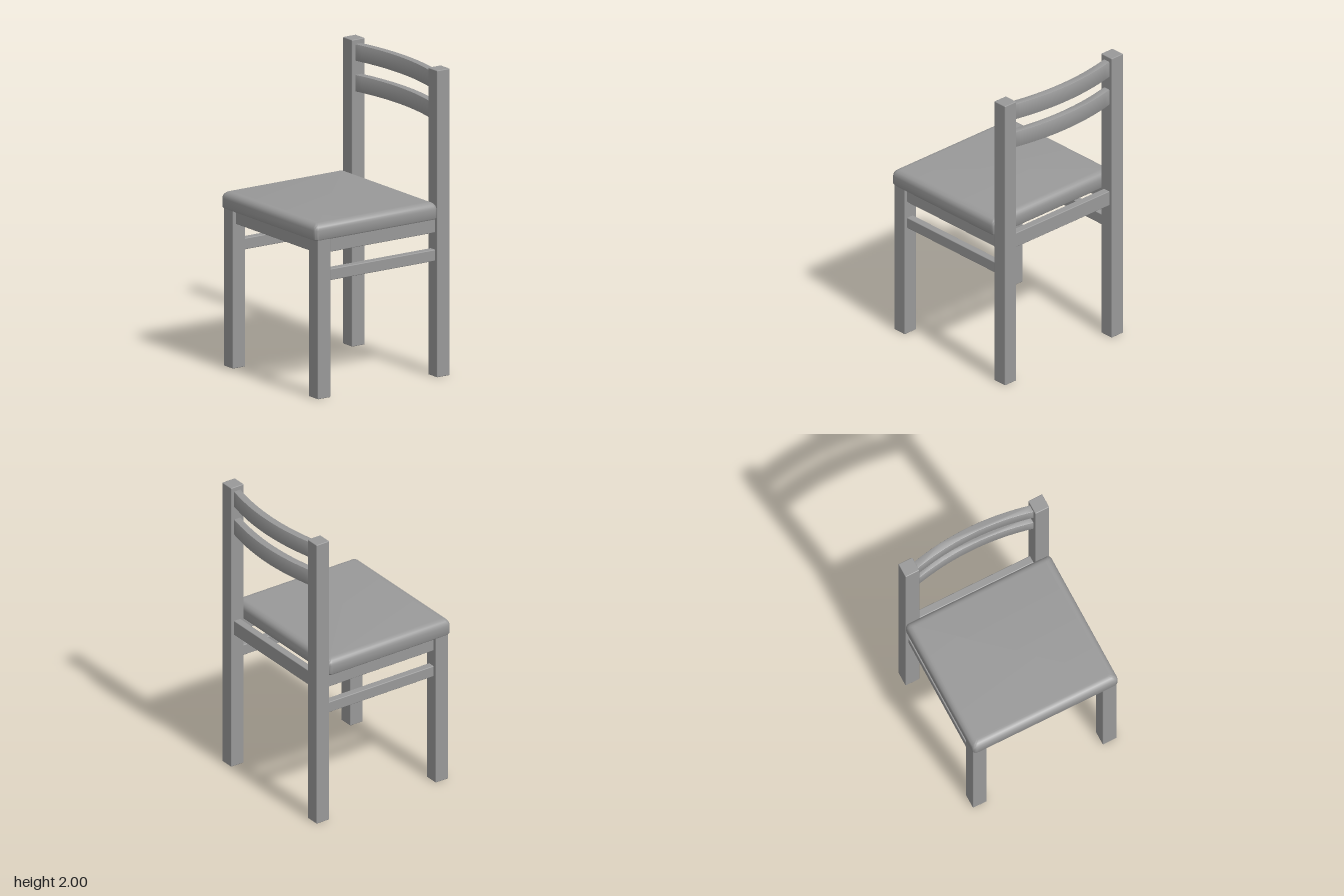
import * as THREE from 'three';
import { RoundedBoxGeometry } from 'three/addons/geometries/RoundedBoxGeometry.js';
import { toCreasedNormals } from 'three/addons/utils/BufferGeometryUtils.js';

const material = new THREE.MeshStandardMaterial({ color: 0x999999 });

export function createModel() {
  const chair = new THREE.Group();
  chair.name = 'chair';

  const add = (name, geometry) => {
    const mesh = new THREE.Mesh(geometry, material);
    mesh.name = name;
    chair.add(mesh);
    return mesh;
  };

  // Slightly eased wooden bar given by its extents
  const bar = (name, [x0, x1], [y0, y1], [z0, z1]) =>
    add(name, new RoundedBoxGeometry(x1 - x0, y1 - y0, z1 - z0, 2, 0.005))
      .position.set((x0 + x1) / 2, (y0 + y1) / 2, (z0 + z1) / 2);

  // Legs, side aprons and side stretchers
  for (const [side, s] of [['left', 1], ['right', -1]]) {
    const span = (a, b) => (s > 0 ? [a, b] : [-b, -a]);
    bar(side + 'FrontLeg', span(0.411, 0.51), [0, 1.04], [0.415, 0.513]);
    bar(side + 'BackLeg', span(0.411, 0.51), [0, 2], [-0.509, -0.41]);
    bar(side + 'SideApron', span(0.437, 0.488), [0.94, 1.042], [-0.42, 0.42]);
    bar(side + 'SideStretcher', span(0.437, 0.488), [0.755, 0.829], [-0.42, 0.42]);
  }

  // Front and back aprons
  bar('frontApron', [-0.42, 0.42], [0.94, 1.042], [0.438, 0.489]);
  bar('backApron', [-0.42, 0.42], [0.94, 1.042], [-0.487, -0.436]);

  // Curved backrest slats, bowed backwards
  const half = 0.416, sag = 0.05, thick = 0.051, bevel = 0.005;
  const arc = (x, z) => z + sag * (1 - (x / half) ** 2);
  const steps = 16;
  const inner = [], outer = [];
  for (let i = 0; i <= steps; i++) {
    const x = -half + (2 * half * i) / steps;
    inner.push(new THREE.Vector2(x, arc(x, 0.435 + bevel)));
    outer.push(new THREE.Vector2(x, arc(x, 0.435 + thick - bevel)));
  }
  const slatShape = new THREE.Shape([...inner, ...outer.reverse()]);
  for (const [name, y0, y1] of [['lowerSlat', 1.66, 1.77], ['upperSlat', 1.86, 1.97]]) {
    const geometry = new THREE.ExtrudeGeometry(slatShape, {
      depth: y1 - y0 - 2 * bevel, bevelSize: bevel, bevelThickness: bevel, bevelSegments: 2,
    });
    geometry.rotateX(-Math.PI / 2).translate(0, y0 + bevel, 0);
    add(name, toCreasedNormals(geometry, 0.6));
  }

  add('seat', seatGeometry());
  return chair;
}

// Seat pad: rounded rectangles stacked in rings, flat below and rolled over at the top edge
function seatGeometry() {
  const hx = 0.515, hz = 0.474, zc = 0.059, cornerSteps = 5, roll = 0.045;
  const rings = [[1.033, 0.006], [1.042, 0]];
  for (let i = 0; i <= 6; i++) {
    const a = (i / 6) * Math.PI / 2;
    rings.push([1.097 + roll * Math.sin(a), roll * (1 - Math.cos(a))]);
  }
  const positions = [], index = [];
  const count = 4 * (cornerSteps + 1);
  for (const [y, inset] of rings) {
    const r = Math.max(0.028 - inset * 0.4, 0.005);
    for (let c = 0; c < 4; c++) {
      const sx = c === 0 || c === 3 ? 1 : -1, sz = c < 2 ? 1 : -1;
      for (let k = 0; k <= cornerSteps; k++) {
        const a = (c + k / cornerSteps) * Math.PI / 2;
        positions.push(sx * (hx - inset - r) + r * Math.cos(a), y,
          zc + sz * (hz - inset - r) + r * Math.sin(a));
      }
    }
  }
  // Side walls
  for (let j = 0; j < rings.length - 1; j++) {
    for (let i = 0; i < count; i++) {
      const a = j * count + i, b = j * count + (i + 1) % count;
      index.push(a, a + count, b, b, a + count, b + count);
    }
  }
  // Flat underside and top
  const top = (rings.length - 1) * count;
  for (let i = 1; i < count - 1; i++) {
    index.push(0, i, i + 1, top, top + i + 1, top + i);
  }
  const geometry = new THREE.BufferGeometry();
  geometry.setAttribute('position', new THREE.Float32BufferAttribute(positions, 3));
  geometry.setIndex(index);
  return toCreasedNormals(geometry, 0.7);
}
